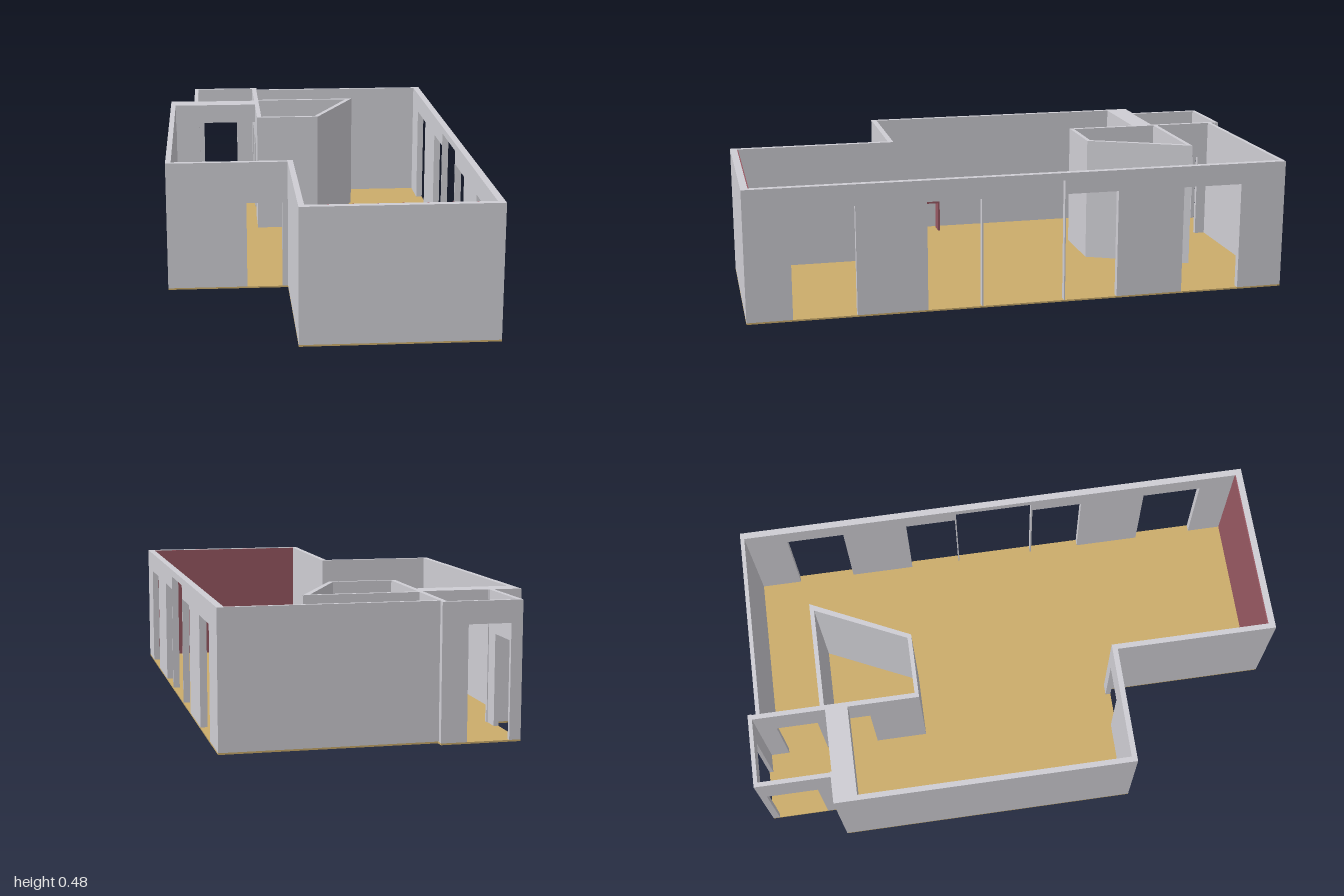
import * as THREE from 'three';

const FLOOR = 0.006, TOP = 0.477;

export function createModel() {
  const model = new THREE.Group();
  model.name = 'floorPlan';
  const mat = (name, color) => {
    const m = new THREE.MeshStandardMaterial({ color });
    m.name = name;
    return m;
  };
  const plaster = mat('grey plaster', 0xcfced4);
  const wood = mat('wood floor', 0xcbac6b);
  const wine = mat('wine red', 0x985862);

  const add = (name, geometry, material, parent = model) => {
    const mesh = new THREE.Mesh(geometry, material);
    mesh.name = name;
    parent.add(mesh);
    return mesh;
  };
  const box = (name, x0, x1, y0, y1, z0, z1, material, parent) =>
    add(name, new THREE.BoxGeometry(x1 - x0, y1 - y0, z1 - z0)
      .translate((x0 + x1) / 2, (y0 + y1) / 2, (z0 + z1) / 2), material, parent);

  // Horizontal slab from an outline of [x, z] points
  const slab = (name, points, y0, y1, material) => {
    const shape = new THREE.Shape(points.map(([x, z]) => new THREE.Vector2(x, -z)));
    const g = new THREE.ExtrudeGeometry(shape, { depth: y1 - y0, bevelEnabled: false });
    add(name, g.rotateX(-Math.PI / 2).translate(0, y0, 0), material);
  };

  // Elevation of a wall, openings [start, end, top] reach down to the floor
  const elevation = (s0, s1, openings, thickness) => {
    const shape = new THREE.Shape();
    shape.moveTo(s0, FLOOR);
    for (const [a, b, top] of openings) {
      shape.lineTo(a, FLOOR);
      shape.lineTo(a, top);
      shape.lineTo(b, top);
      shape.lineTo(b, FLOOR);
    }
    shape.lineTo(s1, FLOOR);
    shape.lineTo(s1, TOP);
    shape.lineTo(s0, TOP);
    return new THREE.ExtrudeGeometry(shape, { depth: thickness, bevelEnabled: false });
  };
  const wallAlongX = (name, x0, x1, z0, z1, openings = []) =>
    add(name, elevation(x0, x1, openings, z1 - z0).translate(0, 0, z0), plaster);
  const wallAlongZ = (name, x0, x1, z0, z1, openings = []) =>
    add(name, elevation(z0, z1, openings, x1 - x0).rotateY(-Math.PI / 2).translate(x1, 0, 0), plaster);

  // Floor under the whole footprint
  slab('floor', [
    [-0.12, 1], [0.555, 1], [0.555, -0.97], [-0.182, -0.97], [-0.182, -1],
    [-0.46, -1], [-0.46, -0.72], [-0.56, -0.72], [-0.56, 0.395], [-0.12, 0.395],
  ], 0, FLOOR, wood);

  // Outer walls
  wallAlongZ('windowWall', 0.53, 0.555, -0.97, 1, [
    [-0.8, -0.58, 0.4],
    [-0.332, -0.137, 0.4],
    [-0.133, 0.164, 0.45],
    [0.17, 0.364, 0.4],
    [0.615, 0.84, 0.4],
  ]);
  wallAlongX('backWall', -0.19, 0.54, -0.97, -0.955);
  wallAlongX('frontWall', -0.12, 0.54, 0.975, 1);
  wallAlongZ('frontSideWall', -0.12, -0.1, 0.375, 0.98);
  wallAlongX('entranceWall', -0.55, -0.11, 0.375, 0.395, [[-0.27, -0.14, 0.325]]);
  wallAlongZ('sideWall', -0.56, -0.54, -0.72, 0.395);
  box('accentPanel', -0.1, 0.53, FLOOR, TOP - 0.001, 0.971, 0.9752, wine);

  // Recess and the beam across it
  wallAlongX('recessWall', -0.55, -0.44, -0.72, -0.705);
  box('beam', -0.54, -0.2, 0.4, TOP, -0.715, -0.632, plaster);

  // Small porch room at the back
  wallAlongZ('porchSideWall', -0.46, -0.443, -1, -0.71, [[-0.975, -0.785, 0.33]]);
  wallAlongX('porchBackWall', -0.45, -0.182, -1, -0.985, [[-0.42, -0.272, 0.4]]);
  wallAlongZ('partitionWall', -0.202, -0.184, -0.99, -0.365, [
    [-0.915, -0.76, 0.335],
    [-0.69, -0.56, 0.335],
  ]);

  // Slanted inner room, open towards the partition
  slab('innerRoomWalls', [
    [-0.2, -0.365], [0.048, -0.365], [0.225, -0.733], [-0.2, -0.733],
    [-0.2, -0.717], [0.196, -0.717], [0.036, -0.38], [-0.2, -0.38],
  ], FLOOR, TOP, plaster);

  // Small side table
  const table = new THREE.Group();
  table.name = 'sideTable';
  model.add(table);
  box('tableTop', -0.52, -0.465, 0.126, 0.14, 0.125, 0.215, wine, table);
  for (const z of [0.125, 0.207])
    box('tableLeg', -0.52, -0.465, FLOOR, 0.126, z, z + 0.008, wine, table);

  return model;
}
